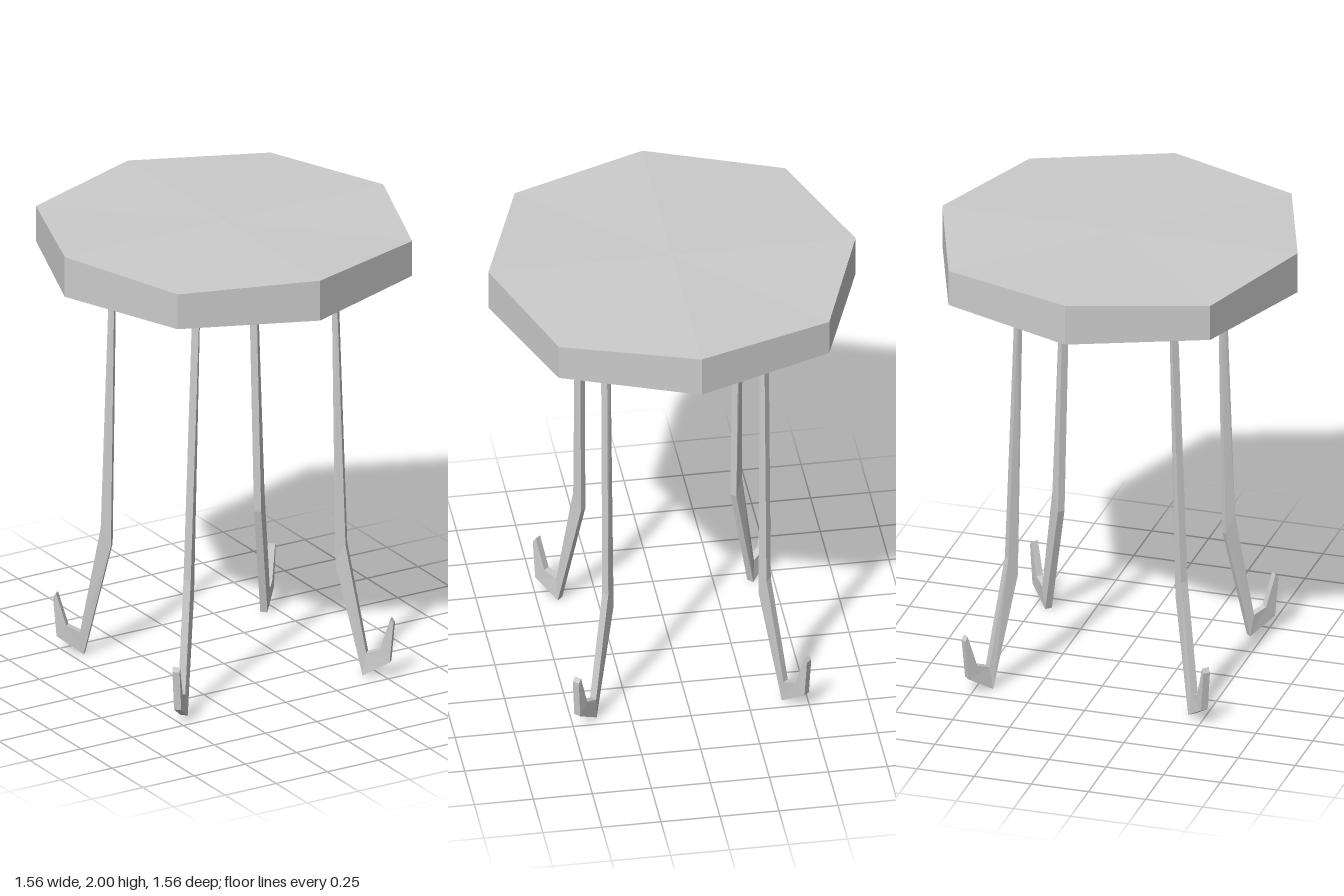
import * as THREE from 'three';

const material = new THREE.MeshStandardMaterial({ color: 0xcccccc, flatShading: true });

// Octagonal slab whose four diagonal corners reach further out and are slightly thinner
function createTabletop() {
  const geo = new THREE.CylinderGeometry(0.778, 0.778, 0.18, 8);
  const p = geo.attributes.position;
  for (let i = 0; i < p.count; i++) {
    const x = p.getX(i), y = p.getY(i), z = p.getZ(i);
    if (Math.abs(x) > 0.1 && Math.abs(z) > 0.1) {
      p.setXYZ(i, Math.sign(x) * 0.573, y > 0 ? 0.077 : -0.08, Math.sign(z) * 0.573);
    }
  }
  geo.computeVertexNormals();
  geo.translate(0, 1.91, 0);
  const mesh = new THREE.Mesh(geo, material);
  mesh.name = 'tabletop';
  return mesh;
}

// Leg stations from top to claw tip: [outer/upper edge], [inner/lower edge]
const stations = [
  [[0.344, 1.83, 0.344], [0.331, 1.83, 0.328]], // under the top
  [[0.389, 0.58, 0.346], [0.356, 0.5, 0.318]],  // knee
  [[0.453, 0.1, 0.408], [0.438, 0, 0.403]],     // ankle and heel
  [[0.492, 0.122, 0.452], [0.52, 0.07, 0.486]], // foot bend
  [[0.524, 0.264, 0.483], [0.533, 0.245, 0.494]], // claw tip
];
const HALF = 0.011; // sideways half thickness along x and z

function createLeg(sx, sz) {
  const positions = [];
  for (const [outer, inner] of stations) {
    for (const [pt, s] of [[outer, 1], [outer, -1], [inner, -1], [inner, 1]]) {
      positions.push(sx * (pt[0] + s * HALF), pt[1], sz * (pt[2] - s * HALF));
    }
  }
  const index = [];
  const tri = (a, b, c) => (sx * sz > 0 ? index.push(a, b, c) : index.push(a, c, b));
  const last = (stations.length - 1) * 4;
  for (let a = 0; a < last; a += 4) {
    for (let i = 0; i < 4; i++) {
      const j = (i + 1) % 4;
      tri(a + i, a + j, a + 4 + j);
      tri(a + i, a + 4 + j, a + 4 + i);
    }
  }
  // End caps
  tri(0, 2, 1);
  tri(0, 3, 2);
  tri(last, last + 1, last + 2);
  tri(last, last + 2, last + 3);

  const indexed = new THREE.BufferGeometry();
  indexed.setAttribute('position', new THREE.Float32BufferAttribute(positions, 3));
  indexed.setIndex(index);
  const geo = indexed.toNonIndexed();
  geo.computeVertexNormals();
  const mesh = new THREE.Mesh(geo, material);
  mesh.name = (sz > 0 ? 'front' : 'back') + (sx > 0 ? 'Left' : 'Right') + 'Leg';
  return mesh;
}

export function createModel() {
  const model = new THREE.Group();
  model.name = 'clawFootTable';
  model.add(createTabletop());
  for (const sx of [1, -1]) {
    for (const sz of [1, -1]) model.add(createLeg(sx, sz));
  }
  return model;
}
